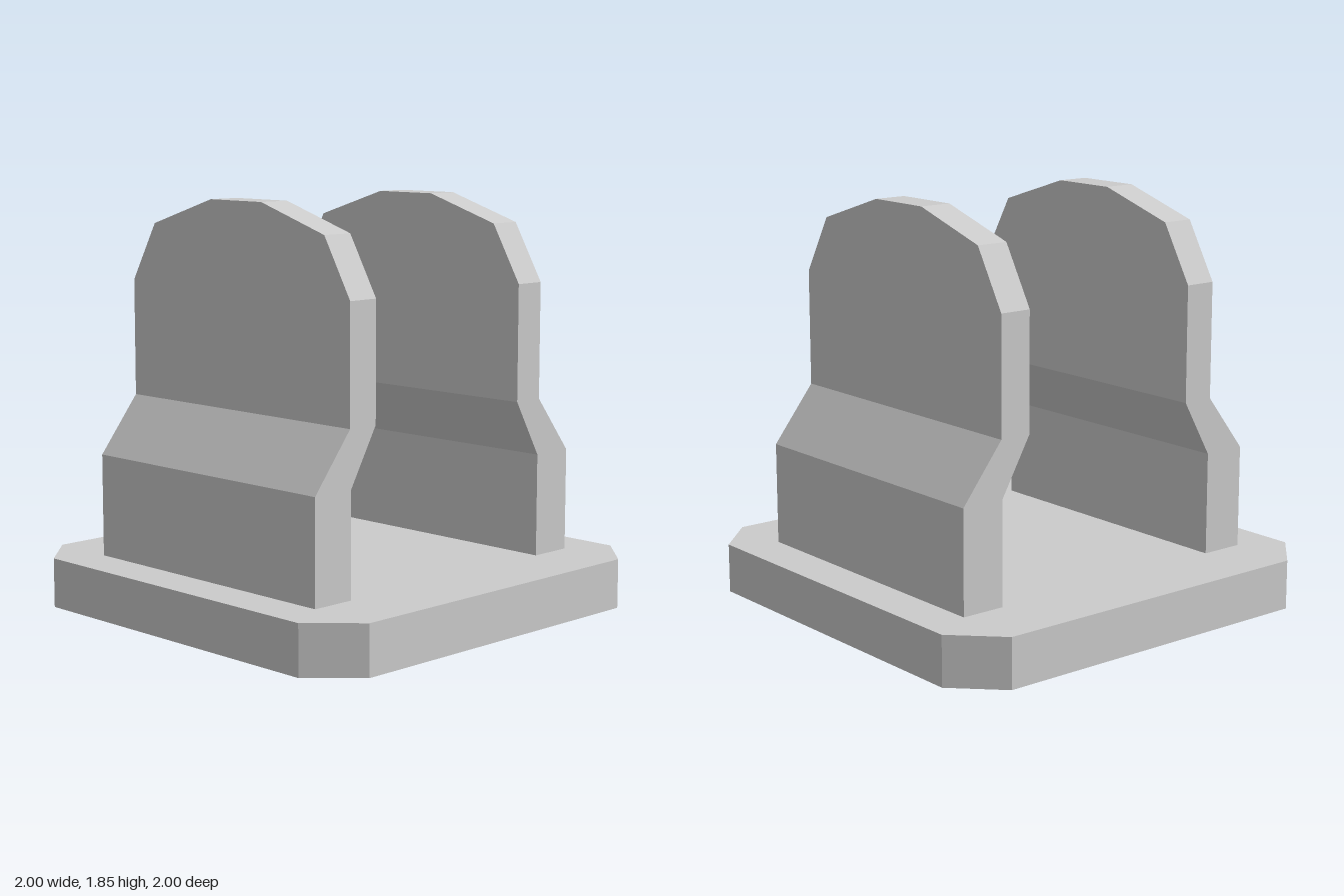
import * as THREE from 'three';

const material = new THREE.MeshStandardMaterial({ color: 0xcccccc, flatShading: true });
const BASE_TOP = 0.225;

// Square base plate with chamfered corners
function makeBase() {
  const h = 1, c = 0.8;
  const outline = [[c, -h], [h, -c], [h, c], [c, h], [-c, h], [-h, c], [-h, -c], [-c, -h]];
  const shape = new THREE.Shape(outline.map(([x, y]) => new THREE.Vector2(x, y)));
  const geometry = new THREE.ExtrudeGeometry(shape, { depth: BASE_TOP, bevelEnabled: false });
  geometry.rotateX(-Math.PI / 2);
  const mesh = new THREE.Mesh(geometry, material);
  mesh.name = 'basePlate';
  return mesh;
}

// Cranked upright with a rounded head; sections are [y, inner x, outer x, half depth]
const SECTIONS = [
  [BASE_TOP, 0.595, 0.8, 0.69],
  [0.69, 0.595, 0.8, 0.69],
  [0.945, 0.45, 0.6, 0.69],
  [1.47, 0.45, 0.6, 0.69],
  [1.73, 0.45, 0.6, 0.54],
  [1.85, 0.45, 0.6, 0.16],
];

function makeUpright(side, name) {
  const rings = SECTIONS.map(([y, inner, outer, z]) => {
    const lo = Math.min(side * inner, side * outer);
    const hi = Math.max(side * inner, side * outer);
    return [[lo, y, z], [hi, y, z], [hi, y, -z], [lo, y, -z]];
  });
  const positions = [];
  const quad = (a, b, c, d) => positions.push(...a, ...b, ...c, ...a, ...c, ...d);

  // Walls between neighbouring sections
  for (let i = 0; i < rings.length - 1; i++) {
    for (let k = 0; k < 4; k++) {
      const n = (k + 1) % 4;
      quad(rings[i][k], rings[i][n], rings[i + 1][n], rings[i + 1][k]);
    }
  }
  // Flat top of the head
  quad(...rings[rings.length - 1]);

  const geometry = new THREE.BufferGeometry();
  geometry.setAttribute('position', new THREE.Float32BufferAttribute(positions, 3));
  geometry.computeVertexNormals();
  const mesh = new THREE.Mesh(geometry, material);
  mesh.name = name;
  return mesh;
}

export function createModel() {
  const group = new THREE.Group();
  group.name = 'clevisBracket';
  group.add(makeBase(), makeUpright(1, 'leftUpright'), makeUpright(-1, 'rightUpright'));
  return group;
}
